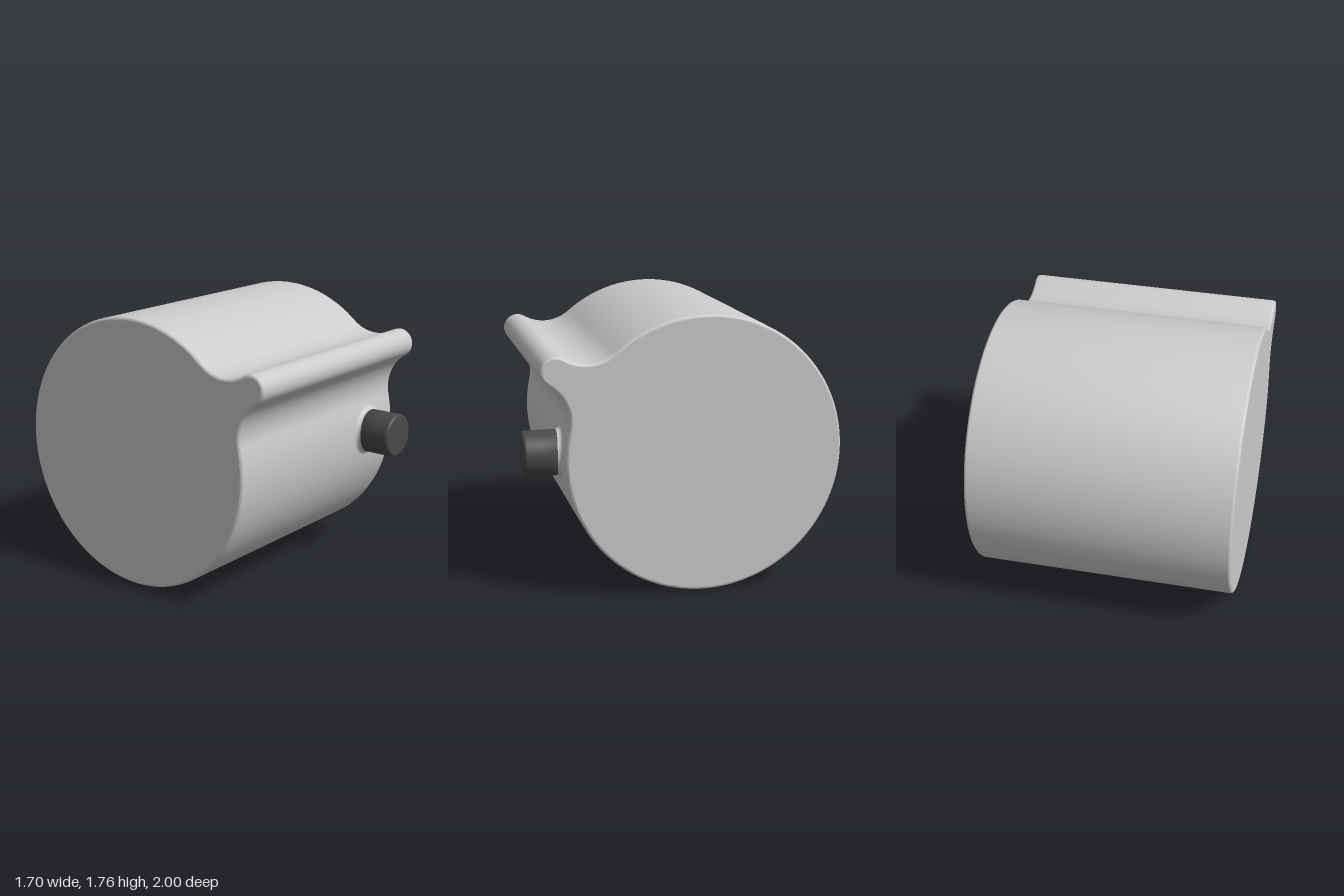
import * as THREE from 'three';
import { toCreasedNormals } from 'three/addons/utils/BufferGeometryUtils.js';

const BODY_R = 0.882, BODY_Z = -0.117, BODY_Y = 0.883;
const HALF_W = 0.85, EDGE = 0.02;

// Points along an arc, leaving out the last one so arcs can be chained
function arc(c, r, from, to, clockwise, n) {
  const curve = new THREE.EllipseCurve(c.x, c.y, r, r, from, to, clockwise);
  return curve.getPoints(n).slice(0, -1);
}

// Side profile (z, y): round drum, two concave fillets and a rounded lip
function profilePoints() {
  const lipR = 0.095, filletR = 0.274;
  const c = new THREE.Vector2(BODY_Z, BODY_Y);
  const lip = new THREE.Vector2(0.82, 1.45);
  const dir = (a, b) => Math.atan2(b.y - a.y, b.x - a.x);
  const dist = c.distanceTo(lip), axis = dir(c, lip);
  const p = BODY_R + filletR, q = lipR + filletR;
  const spread = Math.acos((p * p + dist * dist - q * q) / (2 * dist * p));
  const at = (a) => new THREE.Vector2(c.x + p * Math.cos(a), c.y + p * Math.sin(a));
  const upper = at(axis + spread), lower = at(axis - spread);
  return [
    ...arc(c, BODY_R, axis + spread, axis - spread + 2 * Math.PI, false, 120),
    ...arc(lower, filletR, dir(lower, c), dir(lower, lip), true, 20),
    ...arc(lip, lipR, dir(lip, lower), dir(lip, upper), false, 24),
    ...arc(upper, filletR, dir(upper, lip), dir(upper, c), true, 20),
  ];
}

function bodyGeometry() {
  let g = new THREE.ExtrudeGeometry(new THREE.Shape(profilePoints()), {
    depth: 2 * (HALF_W - EDGE), bevelEnabled: true, bevelThickness: EDGE,
    bevelSize: EDGE, bevelOffset: -EDGE, bevelSegments: 5,
  });
  g.translate(0, 0, -(HALF_W - EDGE));
  g = toCreasedNormals(g, Math.PI / 4);
  // Keep the end faces flat
  const pos = g.attributes.position, nor = g.attributes.normal;
  for (let i = 0; i < pos.count; i++) {
    const z = pos.getZ(i);
    if (Math.abs(z) > HALF_W - 1e-4) nor.setXYZ(i, 0, 0, Math.sign(z));
  }
  return g.rotateY(-Math.PI / 2);
}

const PIN_X = 0.555, PIN_Y = 0.885, PIN_R = 0.145;

// Lathe turned so that its axis points to the front
function frontLathe(points) {
  return new THREE.LatheGeometry(points, 64).rotateX(Math.PI / 2).translate(PIN_X, PIN_Y, 0);
}

function pinGeometry() {
  const pts = [new THREE.Vector2(0, 0.68), new THREE.Vector2(PIN_R, 0.68), new THREE.Vector2(PIN_R, 0.9)];
  for (let i = 0; i <= 6; i++) {
    const a = (i / 6) * Math.PI / 2;
    pts.push(new THREE.Vector2(PIN_R - EDGE + EDGE * Math.cos(a), 1 - EDGE + EDGE * Math.sin(a)));
  }
  pts.push(new THREE.Vector2(PIN_R - EDGE - 0.004, 1), new THREE.Vector2(0, 1));
  return frontLathe(pts);
}

// Fillet around the pin, laid onto the curve of the drum
function collarGeometry() {
  const f = 0.028, pts = [];
  for (let i = 0; i <= 8; i++) {
    const a = (i / 8) * Math.PI / 2;
    pts.push(new THREE.Vector2(PIN_R + f * (1 - Math.sin(a)), f * (1 - Math.cos(a))));
  }
  const g = frontLathe(pts), pos = g.attributes.position;
  for (let i = 0; i < pos.count; i++) {
    const dy = pos.getY(i) - BODY_Y;
    pos.setZ(i, pos.getZ(i) + BODY_Z + Math.sqrt(BODY_R * BODY_R - dy * dy));
  }
  g.computeVertexNormals();
  return g;
}

export function createModel() {
  const group = new THREE.Group();
  group.name = 'lippedDrum';
  const grey = new THREE.MeshStandardMaterial({ color: 0xcccccc });
  const dark = new THREE.MeshStandardMaterial({ color: 0x484848 });
  const add = (name, geometry, material) => {
    const mesh = new THREE.Mesh(geometry, material);
    mesh.name = name;
    group.add(mesh);
  };
  add('drumWithLip', bodyGeometry(), grey);
  add('pinCollar', collarGeometry(), grey);
  add('pin', pinGeometry(), dark);
  return group;
}
